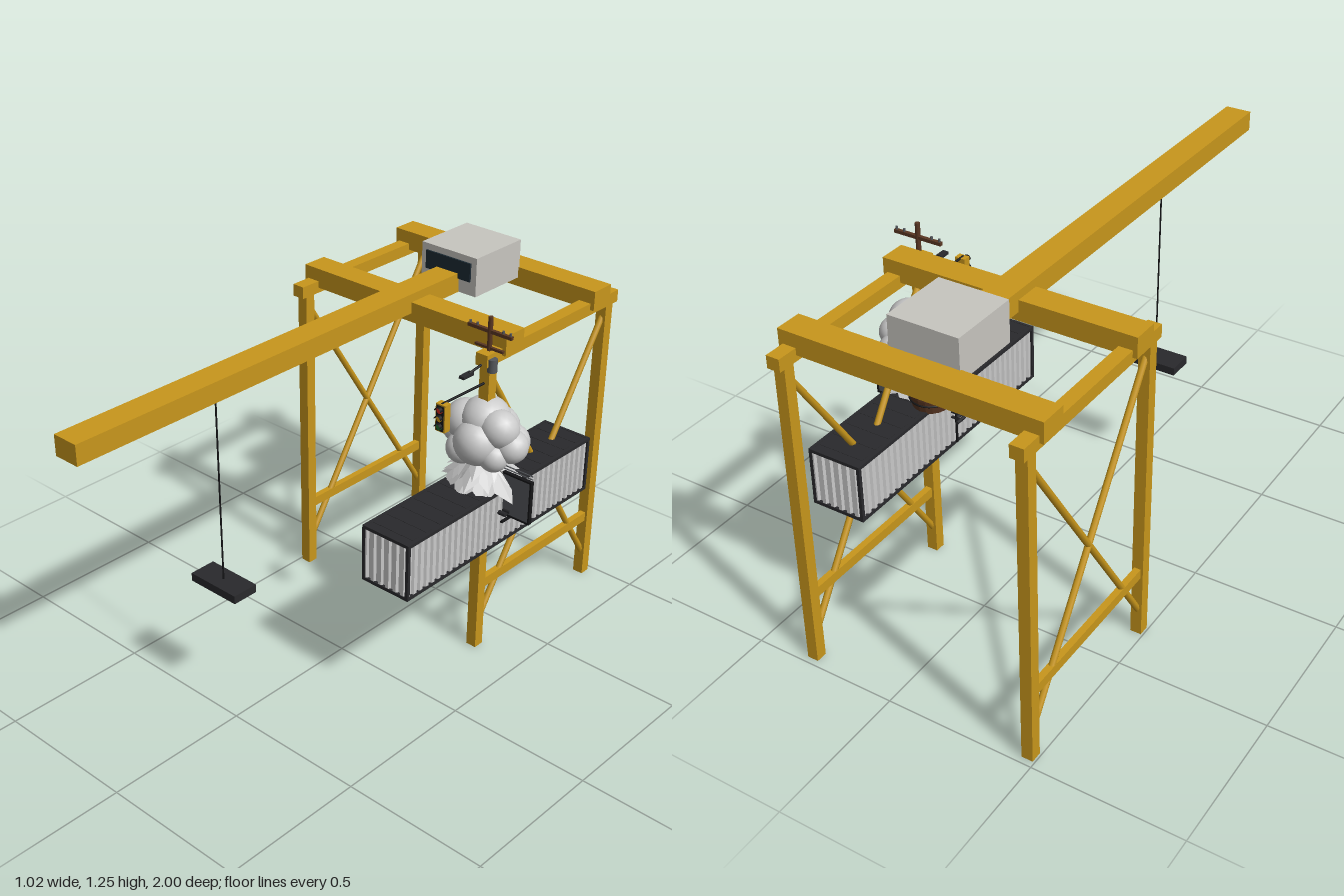
import * as THREE from 'three';

const paint = (color, extra = {}) => new THREE.MeshStandardMaterial({ color, ...extra });
const yellow = paint(0xc9971c), grey = paint(0xcccccc), dark = paint(0x29292c), black = paint(0x151517);
const cabGrey = paint(0xc8c6c0), glass = paint(0x1c2a33), brown = paint(0x5a3723), steel = paint(0x55585c);
const leafGrey = paint(0xcccccc, { flatShading: true, side: THREE.DoubleSide });

export function createModel() {
  const model = new THREE.Group();
  let target = model;

  const group = (name) => {
    target = new THREE.Group();
    target.name = name;
    model.add(target);
    return target;
  };
  const add = (name, geometry, material, x = 0, y = 0, z = 0) => {
    const mesh = new THREE.Mesh(geometry, material);
    mesh.name = name;
    mesh.position.set(x, y, z);
    target.add(mesh);
    return mesh;
  };
  const box = (name, mat, w, h, d, x, y, z) => add(name, new THREE.BoxGeometry(w, h, d), mat, x, y, z);
  const rod = (name, mat, r, a, b, sides = 8) => {
    const from = new THREE.Vector3(...a), to = new THREE.Vector3(...b);
    const dir = to.clone().sub(from);
    const mesh = add(name, new THREE.CylinderGeometry(r, r, dir.length(), sides), mat);
    mesh.position.copy(from).add(to).multiplyScalar(0.5);
    mesh.quaternion.setFromUnitVectors(new THREE.Vector3(0, 1, 0), dir.normalize());
  };

  // Gantry frame: two side frames joined by two cross beams
  group('gantry');
  const frontZ = -0.334, backZ = -0.96, midZ = (frontZ + backZ) / 2;
  for (const x of [-0.474, 0.31]) {
    for (const z of [frontZ, backZ]) box('leg', yellow, 0.038, 1.08, 0.038, x, 0.54, z);
    box('topRail', yellow, 0.045, 0.042, 0.704, x, 1.086, -0.648);
    box('lowerRail', yellow, 0.022, 0.034, 0.626, x, 0.241, midZ);
    rod('brace', yellow, 0.011, [x, 1.02, frontZ - 0.01], [x, 0.09, backZ + 0.01]);
    rod('brace', yellow, 0.011, [x, 0.09, frontZ - 0.01], [x, 1.02, backZ + 0.01]);
  }
  for (const z of [-0.415, -0.885]) box('crossBeam', yellow, 0.858, 0.068, 0.09, -0.082, 1.118, z);

  // Boom with cab, cable and lifting plate
  group('boom');
  box('boomBeam', yellow, 0.09, 0.067, 1.62, -0.083, 1.147, 0.19);
  box('cab', cabGrey, 0.232, 0.135, 0.235, -0.082, 1.182, -0.727);
  box('cabWindow', glass, 0.188, 0.064, 0.01, -0.082, 1.195, -0.608);
  rod('cable', black, 0.0028, [-0.083, 1.12, 0.453], [-0.083, 0.465, 0.453]);
  box('liftingPlate', dark, 0.194, 0.028, 0.092, -0.083, 0.455, 0.453);

  // Container: corrugated walls inside a dark edge frame
  group('container');
  const cx = 0.309, cy = 0.55, cz = -0.33, w = 0.188, h = 0.2, d = 0.94;
  const outline = [];
  const wall = (x0, z0, x1, z1, ribs) => {
    const length = Math.hypot(x1 - x0, z1 - z0), ux = (x1 - x0) / length, uz = (z1 - z0) / length;
    for (let i = 0; i < ribs; i++) {
      for (const [t, inset] of [[0.05, 0], [0.45, 0], [0.6, 0.008], [0.9, 0.008]]) {
        const s = (i + t) / ribs * length;
        outline.push(new THREE.Vector2(x0 + ux * s - uz * inset, z0 + uz * s + ux * inset));
      }
    }
  };
  const hw = w / 2 - 0.002, hd = d / 2 - 0.002;
  wall(-hw, -hd, hw, -hd, 6);
  wall(hw, -hd, hw, hd, 32);
  wall(hw, hd, -hw, hd, 6);
  wall(-hw, hd, -hw, -hd, 32);
  const walls = new THREE.ExtrudeGeometry(new THREE.Shape(outline), { depth: h - 0.012, bevelEnabled: false });
  walls.rotateX(-Math.PI / 2).translate(0, -h / 2 + 0.006, 0);
  add('corrugatedWalls', walls, grey, cx, cy, cz);
  const bar = 0.011;
  for (const a of [-1, 1]) {
    for (const b of [-1, 1]) {
      box('cornerPost', dark, bar, h, bar, cx + a * (w - bar) / 2, cy, cz + b * (d - bar) / 2);
      box('sideEdge', dark, bar, bar, d, cx + a * (w - bar) / 2, cy + b * (h - bar) / 2, cz);
      box('endEdge', dark, w, bar, bar, cx, cy + a * (h - bar) / 2, cz + b * (d - bar) / 2);
    }
    box(a > 0 ? 'roof' : 'floor', dark, w - 0.01, 0.006, d - 0.01, cx, cy + a * (h / 2 - 0.004), cz);
  }
  for (let i = 0; i < 14; i++) box('roofRib', dark, w - 0.03, 0.004, 0.03, cx, 0.648, cz - 0.42 + i * 0.0646);

  // Tree crown: overlapping lumps
  group('treeCrown');
  const px = 0.31, pz = -0.334;
  const lumps = [
    [0, 0.87, 0, 0.083], [-0.065, 0.855, 0.02, 0.068], [0.065, 0.86, 0.015, 0.068],
    [-0.102, 0.805, 0, 0.058], [0.106, 0.808, 0, 0.056], [0.01, 0.81, 0.055, 0.078],
    [0.0, 0.82, -0.055, 0.08], [-0.05, 0.77, 0.05, 0.055], [0.07, 0.775, 0.045, 0.05],
    [-0.06, 0.79, -0.06, 0.062], [0.06, 0.785, -0.06, 0.062], [0.01, 0.78, 0, 0.08],
  ];
  lumps.forEach(([x, y, z, r], n) => {
    const lump = add('crownLump', new THREE.IcosahedronGeometry(r, 3), grey, px + x, y, pz + z);
    lump.rotation.set(n, n * 2, 0);
    lump.scale.y = 0.93;
  });

  // Spiky skirt of leaves under the crown
  group('leafSkirt');
  [[0.17, 0.14, 0.63], [0.14, 0.13, 0.655], [0.115, 0.12, 0.69]].forEach(([r, height, y], tier) => {
    const cone = new THREE.ConeGeometry(r, height, 20, 1, true);
    const p = cone.attributes.position;
    for (let i = 0; i < p.count; i++) {
      if (p.getY(i) > 0) continue;
      const step = (i - 21) % 20, k = step % 2 ? 0.7 : 0.94 + 0.1 * Math.sin(step * 2.3 + tier);
      p.setXYZ(i, p.getX(i) * k, p.getY(i) + (step % 2 ? 0.03 : 0.012 * Math.sin(step * 1.7)), p.getZ(i) * k * 0.88);
    }
    const skirt = add('leafTier', cone, leafGrey, px, y + height / 2, pz);
    skirt.rotation.y = tier * 0.16;
  });

  // Wooden tub with hoops
  group('tub');
  const profile = [[0, 0], [0.058, 0], [0.067, 0.045], [0.069, 0.08], [0.066, 0.125], [0.058, 0.125], [0.056, 0.1], [0, 0.1]];
  add('tubBody', new THREE.LatheGeometry(profile.map((q) => new THREE.Vector2(...q)), 18),
    paint(0x5a3723, { flatShading: true, side: THREE.DoubleSide }), 0.238, 0.645, -0.408);
  for (const [y, r] of [[0.675, 0.066], [0.745, 0.069]]) {
    add('hoop', new THREE.TorusGeometry(r, 0.003, 6, 24).rotateX(Math.PI / 2), black, 0.238, y, -0.408);
  }

  // Utility pole with cross arms, insulators and transformer
  group('utilityPole');
  rod('pole', brown, 0.008, [px, 0.65, pz], [px, 1.22, pz]);
  box('upperArm', brown, 0.17, 0.011, 0.012, px, 1.172, pz);
  box('lowerArm', brown, 0.11, 0.008, 0.01, px, 1.116, pz);
  for (const x of [-0.078, -0.05, 0.05, 0.078]) rod('insulator', steel, 0.004, [px + x, 1.175, pz], [px + x, 1.187, pz]);
  rod('transformer', steel, 0.016, [0.337, 1.048, -0.318], [0.337, 1.092, -0.318], 14);

  // Street lamp reaching forward
  group('streetLamp');
  rod('lampArm', black, 0.004, [px, 1.075, pz], [px, 1.062, -0.235]);
  box('lampHead', dark, 0.02, 0.009, 0.05, px, 1.06, -0.225);

  // Traffic light hung on an arm
  group('trafficLight');
  rod('signalArm', black, 0.004, [px, 1.0, pz], [px, 1.004, -0.11]);
  box('signalHousing', yellow, 0.037, 0.093, 0.026, px, 0.959, -0.117);
  box('signalFace', black, 0.028, 0.084, 0.004, px, 0.959, -0.103);
  [0xd0281c, 0xd09a18, 0x1f6a2c].forEach((color, i) => {
    const y = 0.987 - i * 0.028;
    rod('signalLens', paint(color), 0.011, [px, y, -0.104], [px, y, -0.098], 16);
    const visor = new THREE.CylinderGeometry(0.0125, 0.0125, 0.014, 14, 1, true, Math.PI / 2, Math.PI);
    add('visor', visor.rotateX(Math.PI / 2), paint(0x151517, { side: THREE.DoubleSide }), px, y, -0.095);
  });

  // Framed panel standing out beside the container, with rods above
  group('sidePanel');
  box('panel', steel, 0.15, 0.145, 0.008, 0.43, 0.635, pz);
  for (const y of [0.56, 0.709]) box('panelEdge', black, 0.15, 0.006, 0.014, 0.43, y, pz);
  box('panelEdge', black, 0.006, 0.155, 0.014, 0.503, 0.635, pz);
  for (const y of [0.722, 0.733]) rod('panelRod', steel, 0.002, [0.33, y, pz], [0.507, y, pz]);

  // Small brackets on both sides of the container
  group('sideBrackets');
  rod('bracketPost', black, 0.004, [0.2, 0.47, pz], [0.2, 0.625, pz]);
  for (const y of [0.56, 0.58, 0.6]) {
    box('bracketArm', dark, 0.04, 0.006, 0.008, 0.197, y, pz);
    rod('bracketKnob', dark, 0.006, [0.183, y, pz - 0.02], [0.183, y, pz + 0.02]);
  }
  box('bracketBar', black, 0.008, 0.007, 0.085, 0.425, 0.553, pz);
  for (const z of [-0.025, 0, 0.025]) rod('bracketKnob', dark, 0.008, [0.4, 0.573, pz + z], [0.428, 0.573, pz + z]);

  return model;
}
